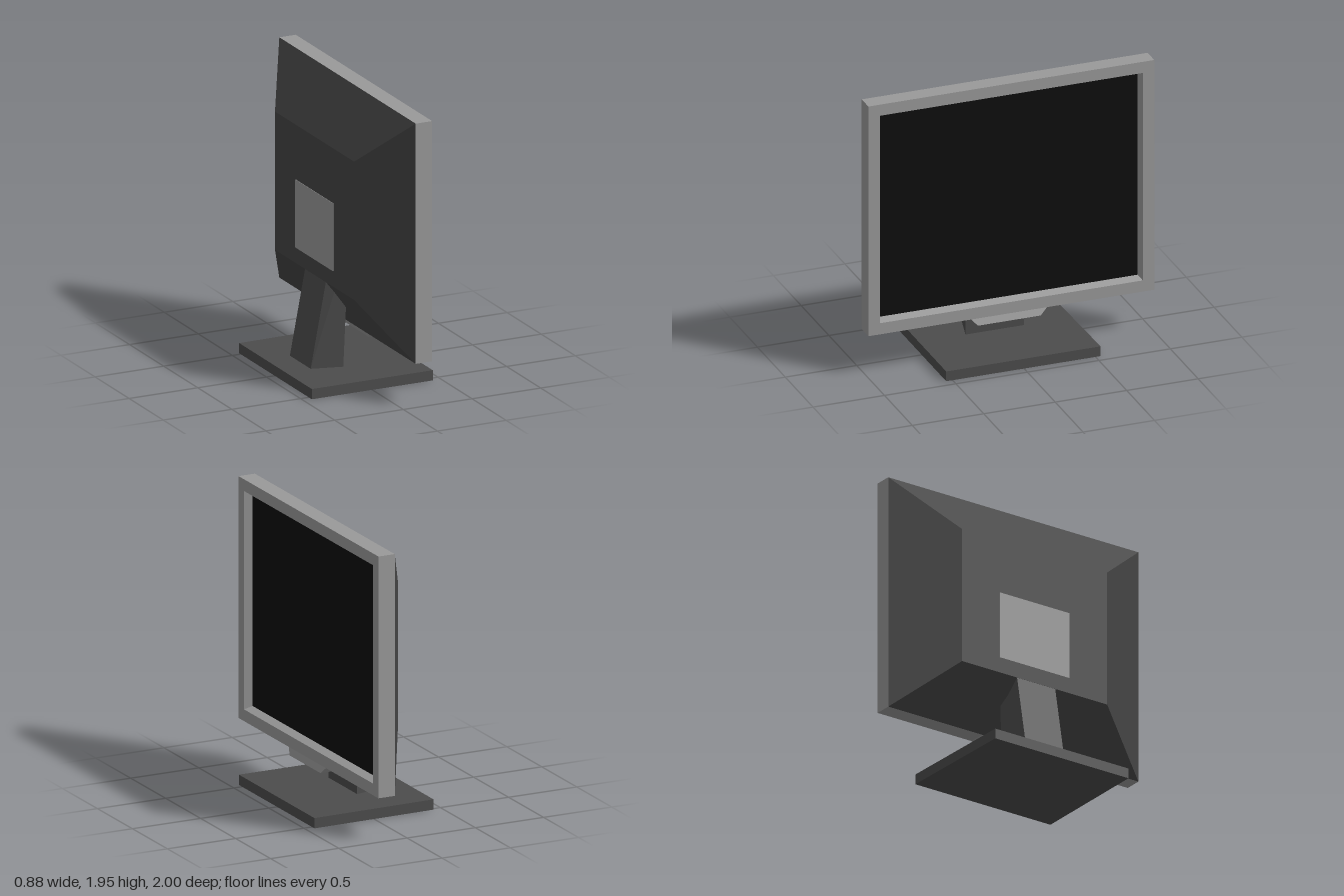
import * as THREE from 'three';

// Four-corner rings: one standing across x, one lying across y (back and front widths may differ)
const xRing = (x, y0, y1, z0, z1) => [[x, y0, z0], [x, y1, z0], [x, y1, z1], [x, y0, z1]];
const yRing = (y, xb, xf, zb0, zb1, zf0 = zb0, zf1 = zb1) =>
  [[xb, y, zb0], [xb, y, zb1], [xf, y, zf1], [xf, y, zf0]];

// Joins successive rings with flat quads; rings advance along the ring axis
function loft(rings, capStart, capEnd) {
  const pos = [];
  const quad = (a, b, c, d) => pos.push(...a, ...b, ...c, ...a, ...c, ...d);
  for (let r = 0; r < rings.length - 1; r++) {
    const a = rings[r], b = rings[r + 1];
    for (let i = 0; i < 4; i++) {
      const j = (i + 1) % 4;
      quad(a[i], a[j], b[j], b[i]);
    }
  }
  if (capStart) quad(...[...rings[0]].reverse());
  if (capEnd) quad(...rings[rings.length - 1]);
  const g = new THREE.BufferGeometry();
  g.setAttribute('position', new THREE.Float32BufferAttribute(pos, 3));
  g.computeVertexNormals();
  return g;
}

export function createModel() {
  const model = new THREE.Group();
  model.name = 'monitor';
  const mat = (color) => new THREE.MeshStandardMaterial({ color, flatShading: true });
  const silver = mat(0x999999), dark = mat(0x4c4c4c), shell = mat(0x444444), black = mat(0x0d0d0d);

  const add = (name, geometry, material) => {
    const mesh = new THREE.Mesh(geometry, material);
    mesh.name = name;
    model.add(mesh);
  };

  // Frame: outer sides, front rim and sloping recess
  const outerBack = xRing(0.09, 0.3, 1.95, -1, 1);
  const screenRing = xRing(0.155, 0.4, 1.86, -0.905, 0.905);
  add('bezel', loft([
    outerBack,
    xRing(0.21, 0.3, 1.95, -1, 1),
    xRing(0.21, 0.38, 1.87, -0.92, 0.92),
    screenRing,
  ], false, false), silver);

  // Screen at the bottom of the recess
  add('screen', loft([screenRing], false, true), black);

  // Tapered rear housing
  add('rearHousing', loft([xRing(-0.15, 0.65, 1.6, -0.58, 0.58), outerBack], true, false), shell);

  // Flat plate on the rear housing
  add('rearPlate', loft([
    xRing(-0.153, 0.757, 1.224, -0.28, 0.275),
    xRing(-0.145, 0.757, 1.224, -0.28, 0.275),
  ], true, true), silver);

  // Tapered lip below the frame
  add('lowerLip', loft([
    yRing(0.255, 0.125, 0.225, -0.2, 0.24),
    yRing(0.3, 0.09, 0.21, -0.25, 0.28),
  ], true, true), silver);

  // Leaning stand, running up into the housing
  add('stand', loft([
    yRing(0.07, -0.26, -0.05, -0.14, 0.165, -0.19, 0.22),
    yRing(0.9, -0.102, -0.01, -0.14, 0.165, -0.19, 0.22),
  ], true, true), dark);

  // Base slab
  add('base', loft([
    yRing(0, -0.44, 0.44, -0.52, 0.545, -0.535, 0.545),
    yRing(0.07, -0.44, 0.44, -0.52, 0.545, -0.535, 0.545),
  ], true, true), dark);

  return model;
}
